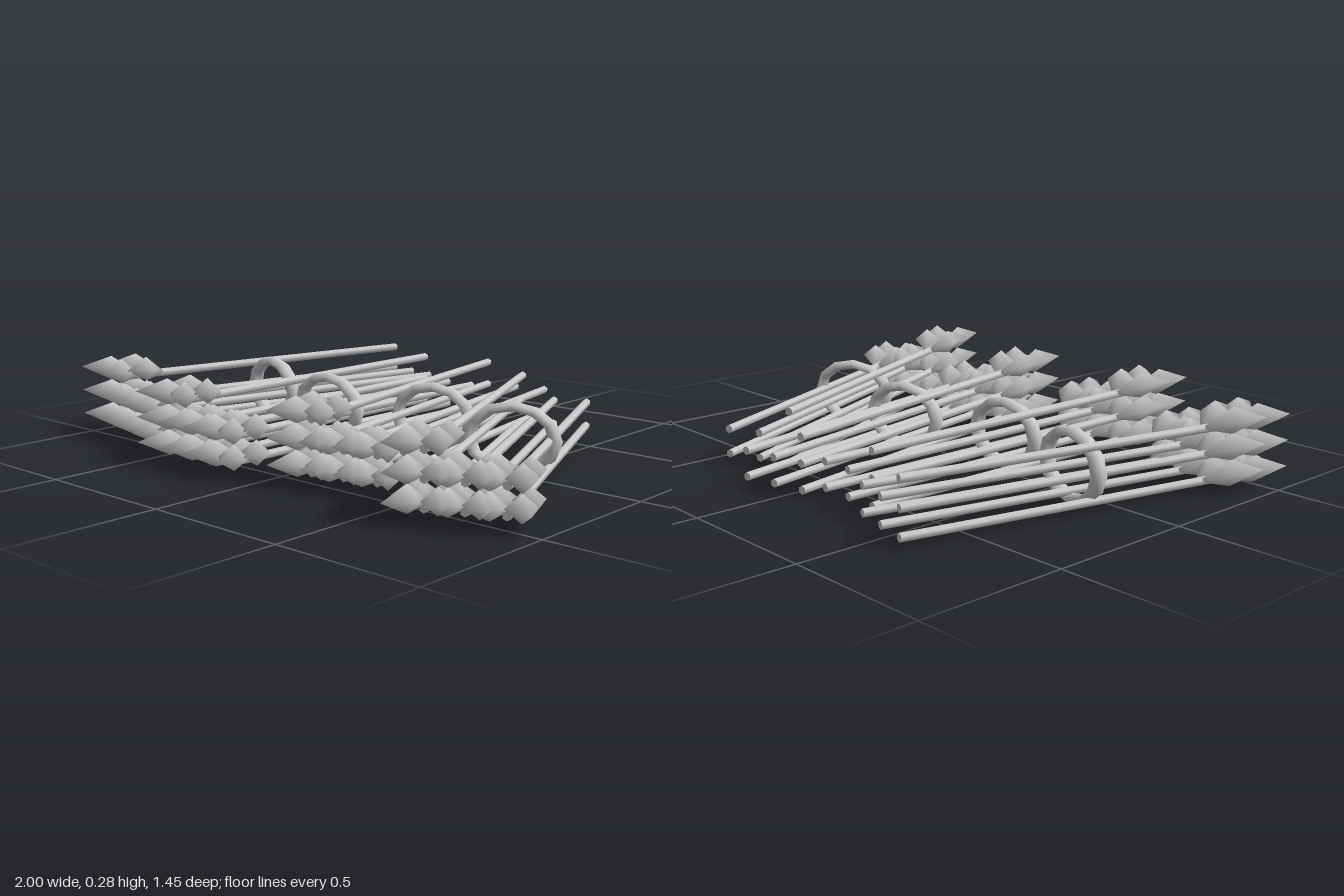
import * as THREE from 'three';

const STRAW = new THREE.MeshStandardMaterial({ color: 0xcccccc });
STRAW.name = 'straw grey';

function part(name, geometry, parent) {
  const mesh = new THREE.Mesh(geometry, STRAW);
  mesh.name = name;
  parent.add(mesh);
  return mesh;
}

// One grain: a skewed, softly shaded diamond leaning outward to the given side (+1 / -1)
function grainGeometry(side) {
  const points = [
    [0, 0, 0],              // base
    [0.088, 0.03, 0.072],   // outer corner
    [0.045, 0.071, 0.093],  // ridge
    [0, 0.03, 0.118],       // inner corner
    [0.045, -0.016, 0.093], // keel
    [0.092, 0.035, 0.188],  // tip
  ].flatMap(([x, y, z]) => [x * side, y, z]);
  const index = [];
  for (let i = 0; i < 4; i++) {
    const a = 1 + i, b = 1 + ((i + 1) % 4);
    if (side > 0) index.push(a, b, 5, b, a, 0);
    else index.push(b, a, 5, a, b, 0);
  }
  const geometry = new THREE.BufferGeometry();
  geometry.setAttribute('position', new THREE.Float32BufferAttribute(points, 3));
  geometry.setIndex(index);
  geometry.computeVertexNormals();
  return geometry;
}

export function createModel() {
  const model = new THREE.Group();
  model.name = 'wheatSheaves';

  const BACK = -0.648, FRONT = 0.57, EAR = 0.395;
  const stemGeometry = new THREE.CylinderGeometry(0.0145, 0.0145, FRONT - BACK, 6)
    .rotateX(Math.PI / 2)
    .translate(0, 0, (FRONT + BACK) / 2);
  const grains = { 1: grainGeometry(1), [-1]: grainGeometry(-1) };
  const ringGeometry = new THREE.TorusGeometry(0.14, 0.022, 6, 12).scale(1, 0.75, 1.2);

  // A stalk: straight stem with two pairs of grains
  function makeStalk() {
    const stalk = new THREE.Group();
    stalk.name = 'stalk';
    part('stem', stemGeometry, stalk);
    for (let row = 0; row < 2; row++) {
      for (const side of [-1, 1]) {
        part('grain', grains[side], stalk).position.z = EAR + row * 0.094;
      }
    }
    return stalk;
  }

  // Two layers of three stalks with one extra on top
  const columns = [-0.115, 0.003, 0.121];
  const layers = [[0.04, 3], [0.125, 3], [0.21, 1]];

  // Sheaves: ring centre x, z and heading in degrees
  const sheaves = [
    [-0.645, -0.075, -13.1],
    [-0.25, 0.03, -1],
    [0.147, -0.07, 11.1],
    [0.54, 0.015, 23.2],
  ];
  for (const [x, z, heading] of sheaves) {
    const sheaf = new THREE.Group();
    sheaf.name = 'sheaf';
    for (const [y, count] of layers) {
      for (const column of columns.slice(0, count)) {
        const stalk = makeStalk();
        stalk.position.set(column, y, 0);
        sheaf.add(stalk);
      }
    }
    part('bindingRing', ringGeometry, sheaf).position.y = 0.123;
    sheaf.position.set(x, 0, z);
    sheaf.rotation.y = THREE.MathUtils.degToRad(heading);
    model.add(sheaf);
  }
  return model;
}
